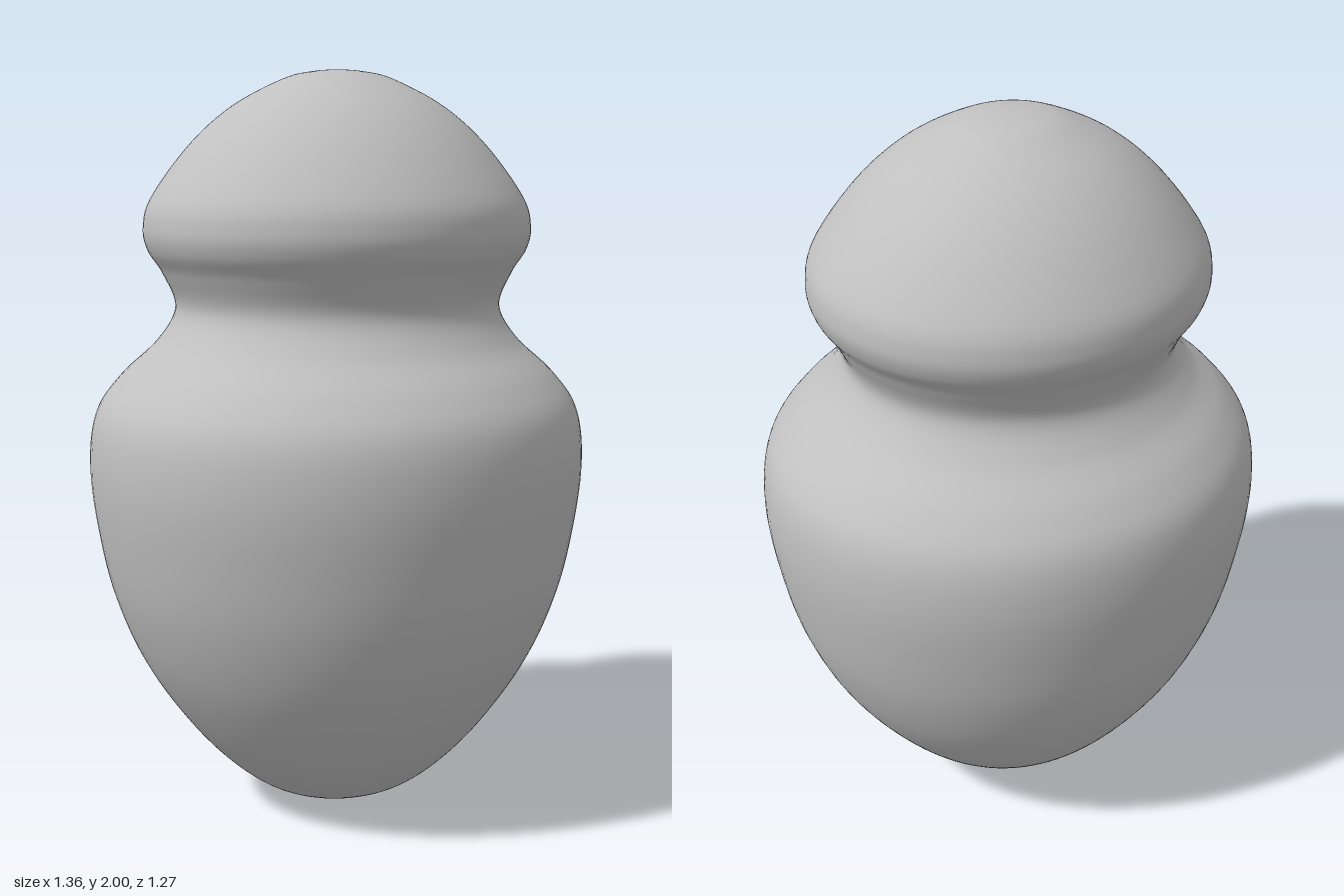
import * as THREE from 'three';

export function createModel() {
  const group = new THREE.Group();
  const grey = new THREE.MeshStandardMaterial({ color: 0xc0c0c0 });
  grey.name = 'light grey';

  // Profile as [radius, height], from the bottom pole to the top pole
  const profile = [
    [0, 0], [0.1, 0.01], [0.24, 0.065], [0.39, 0.2], [0.533, 0.4], [0.62, 0.6], [0.664, 0.8],
    [0.68, 0.97], [0.66, 1.105], [0.593, 1.2], [0.495, 1.29], [0.443, 1.38],
    [0.475, 1.47], [0.513, 1.53], [0.525, 1.59], [0.502, 1.67], [0.4, 1.805],
    [0.285, 1.905], [0.15, 1.975], [0.07, 1.995], [0, 2],
  ].map(([r, y]) => new THREE.Vector2(r, y));

  const points = new THREE.SplineCurve(profile).getPoints(160);
  points.forEach((p) => { p.x = Math.max(0, p.x); });

  // Rounded body, pinched neck and domed cap in one smooth, slightly oval skin
  const body = new THREE.Mesh(new THREE.LatheGeometry(points, 96).scale(1, 1, 0.932), grey);
  body.name = 'bodyAndCap';
  group.add(body);
  return group;
}
